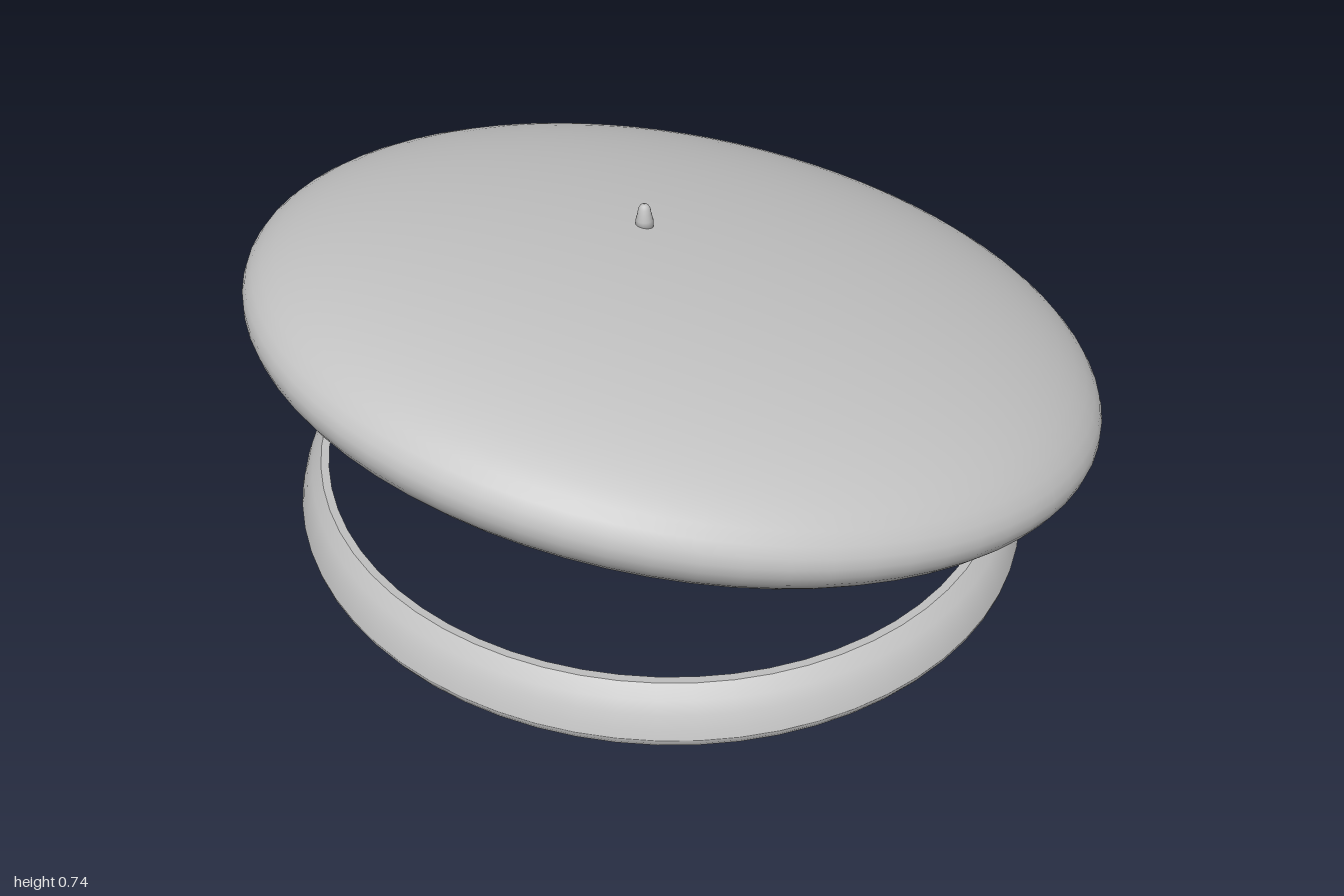
import * as THREE from 'three';

const V = (x, y) => new THREE.Vector2(x, y);

export function createModel() {
  const model = new THREE.Group();
  const grey = new THREE.MeshStandardMaterial({ color: 0xc4c4c4 });
  grey.name = 'light grey';

  const add = (name, geometry, x, y, z) => {
    const mesh = new THREE.Mesh(geometry, grey);
    mesh.name = name;
    mesh.position.set(x, y, z);
    model.add(mesh);
    return mesh;
  };

  // Tilted lens-shaped disc, lower on the +x side
  const disc = add('disc', new THREE.SphereGeometry(1, 72, 36), 0, 0.397, 0);
  disc.scale.set(1.023, 0.26, 0.983);
  disc.rotation.z = THREE.MathUtils.degToRad(-12.55);

  // Thin-walled, inward-curving base ring; each strip keeps its edges sharp
  const outerWall = [V(1, 0.022), V(0.993, 0.045), V(0.98, 0.075), V(0.963, 0.1), V(0.936, 0.127)];
  const innerWall = [V(0.914, 0.125), V(0.94, 0.1), V(0.957, 0.07), V(0.967, 0.04), V(0.973, 0.008)];
  const strips = {
    ringOuterWall: outerWall,
    ringTopEdge: [V(0.936, 0.127), V(0.914, 0.125)],
    ringInnerWall: innerWall,
    ringBottomEdge: [V(0.973, 0.008), V(0.978, 0), V(0.99, 0)],
    ringFootLip: [V(0.99, 0), V(0.998, 0.012), V(1, 0.022)],
  };
  const ring = new THREE.Group();
  ring.name = 'baseRing';
  for (const [name, points] of Object.entries(strips)) {
    const mesh = new THREE.Mesh(new THREE.LatheGeometry(points, 64), grey);
    mesh.name = name;
    ring.add(mesh);
  }
  ring.position.set(-0.097, 0, 0.055);
  ring.scale.set(0.853, 1, 0.905);
  model.add(ring);

  // Small upright peg with a rounded tip
  const peg = [V(0, -0.01), V(0.021, -0.01), V(0.02, 0.015), V(0.016, 0.03),
    V(0.014, 0.043), V(0.009, 0.051), V(0, 0.054)];
  add('peg', new THREE.LatheGeometry(peg, 20), -0.1, 0.682, 0);

  return model;
}
